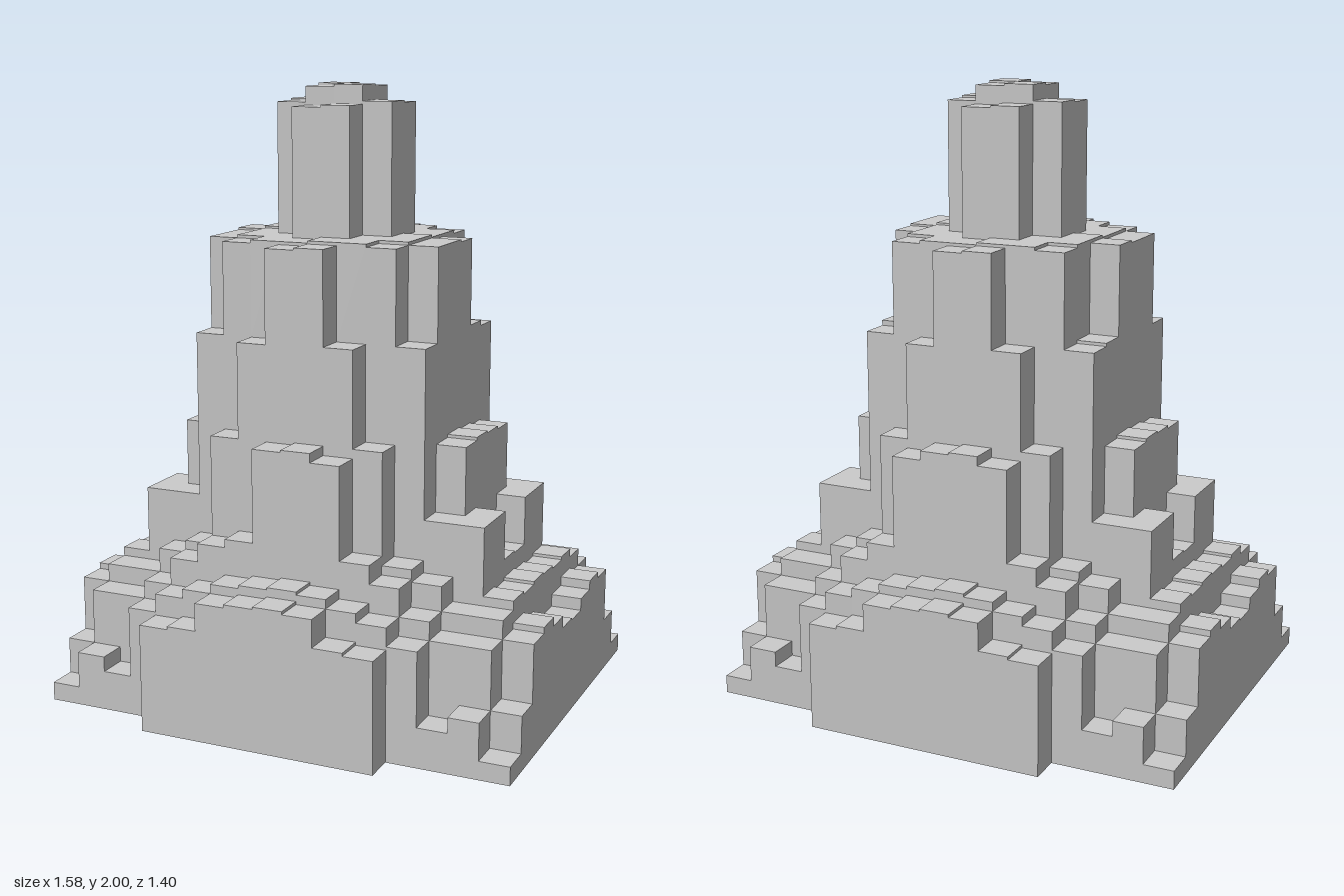
import * as THREE from 'three';

// Column heights for one quarter: rows run from the middle outwards in z, entries outwards in x.
const QUARTER = [
  [2.00, 1.95, 1.53, 1.52, 0.91, 0.52, 0.46, 0.32],
  [1.94, 1.53, 1.53, 1.52, 0.90, 0.68, 0.45, 0.36],
  [1.53, 1.53, 1.52, 1.22, 0.68, 0.68, 0.46, 0.39],
  [1.52, 1.22, 0.91, 0.55, 0.51, 0.43, 0.43, 0.37],
  [0.91, 0.88, 0.58, 0.52, 0.43, 0.37, 0.37, 0.18],
  [0.50, 0.49, 0.46, 0.43, 0.37, 0.13, 0.18, 0.06],
  [0.47, 0.46, 0.37, 0.36, 0, 0, 0, 0],
];
const NX = 8, NZ = 7, CX = 0.099, CZ = 0.1;

// Height of cell (i, k); the quarter is mirrored, with a few uneven blocks.
function heightAt(i, k) {
  const a = i < 0 ? -1 - i : i, b = k < 0 ? -1 - k : k;
  if (a >= NX || b >= NZ) return 0;
  if (a === 3 && k === -2) return 1.23;
  if (i === -2 && k === 4) return 0.6;
  const h = QUARTER[b][a];
  return h > 0.3 && (i < 0) !== (k < 0) ? h - 0.007 : h;
}

// Tiers of the stepped tower, from the ground up.
const TIERS = [['footTerrace', 0.53], ['middleTerrace', 1], ['upperTerrace', 1.6], ['spire', 3]];

export function createModel() {
  const group = new THREE.Group();
  const material = new THREE.MeshStandardMaterial({ color: 0xcccccc, flatShading: true });
  const faces = TIERS.map(() => []);
  const quad = (out, a, b, c, d) => out.push(...a, ...b, ...c, ...a, ...c, ...d);

  for (let k = -NZ; k < NZ; k++) for (let i = -NX; i < NX; i++) {
    const h = heightAt(i, k);
    if (h === 0) continue;
    const out = faces[TIERS.findIndex(([, limit]) => h < limit)];
    const x0 = i * CX, x1 = x0 + CX, z0 = k * CZ, z1 = z0 + CZ;

    // Top and underside of the column
    quad(out, [x0, h, z1], [x1, h, z1], [x1, h, z0], [x0, h, z0]);
    quad(faces[0], [x0, 0, z0], [x1, 0, z0], [x1, 0, z1], [x0, 0, z1]);

    // Walls down to each lower neighbour: di, dk, then the left and right corner seen from outside
    const walls = [
      [0, 1, x0, z1, x1, z1], [1, 0, x1, z1, x1, z0],
      [0, -1, x1, z0, x0, z0], [-1, 0, x0, z0, x0, z1],
    ];
    for (const [di, dk, ax, az, bx, bz] of walls) {
      const low = heightAt(i + di, k + dk);
      if (low < h) quad(out, [ax, low, az], [bx, low, bz], [bx, h, bz], [ax, h, az]);
    }
  }

  TIERS.forEach(([name], t) => {
    const geometry = new THREE.BufferGeometry();
    geometry.setAttribute('position', new THREE.Float32BufferAttribute(faces[t], 3));
    geometry.computeVertexNormals();
    const mesh = new THREE.Mesh(geometry, material);
    mesh.name = name;
    group.add(mesh);
  });
  group.name = 'steppedTower';
  return group;
}
